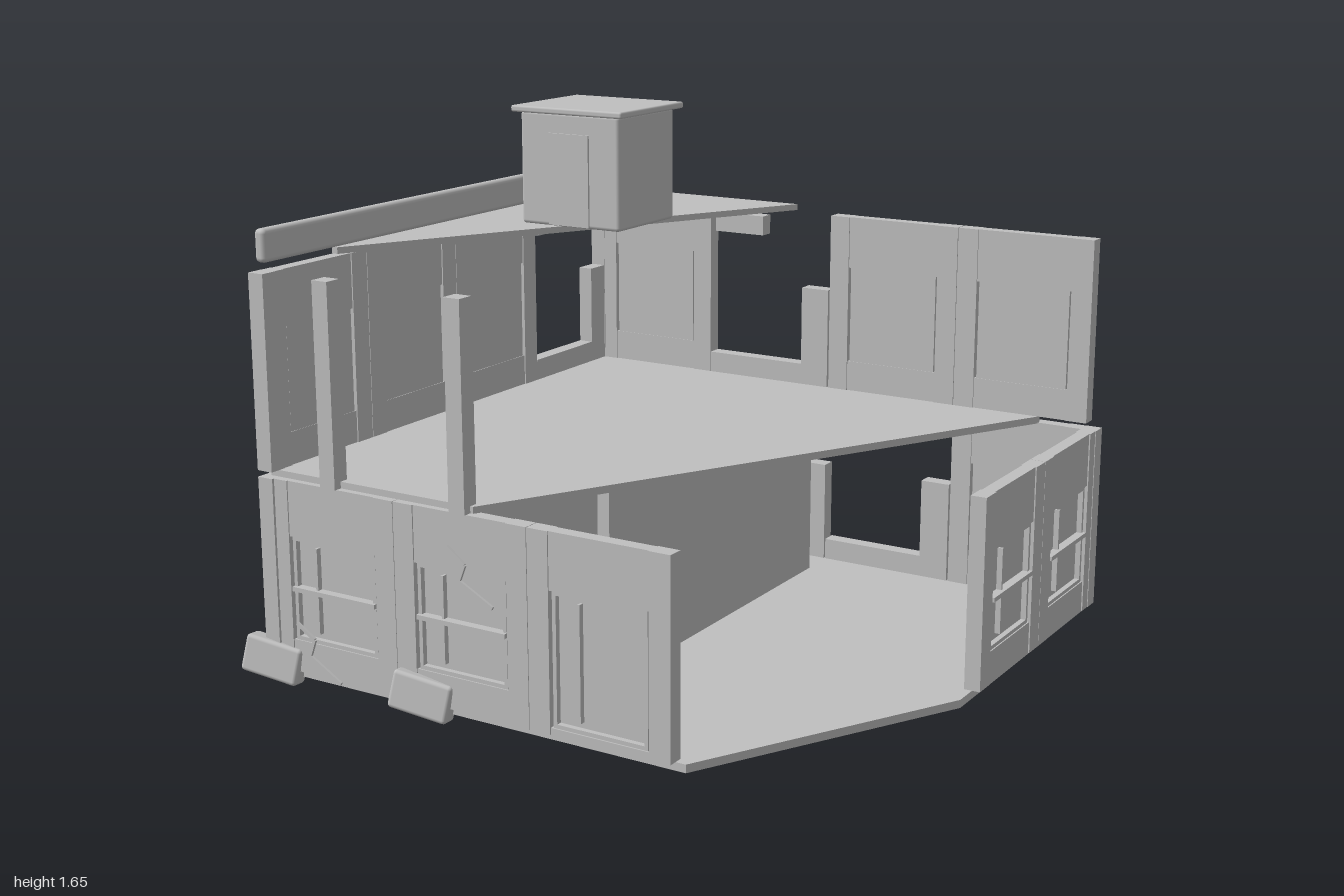
import * as THREE from 'three';
import { RoundedBoxGeometry } from 'three/addons/geometries/RoundedBoxGeometry.js';

const concrete = new THREE.MeshStandardMaterial({ color: 0xbfbfbf });
concrete.name = 'concrete grey';

const PIER = 0.07, THICK = 0.05, STOREY = 0.59;
const FLOOR_Y = [0.055, 0.665];

function add(parent, name, geometry) {
  const mesh = new THREE.Mesh(geometry, concrete);
  mesh.name = name;
  parent.add(mesh);
  return mesh;
}

// Box given by its limits on each axis
function box(parent, name, x0, x1, y0, y1, z0, z1, radius = 0) {
  const s = [x1 - x0, y1 - y0, z1 - z0];
  const g = radius ? new RoundedBoxGeometry(...s, 2, radius) : new THREE.BoxGeometry(...s);
  const mesh = add(parent, name, g);
  mesh.position.set((x0 + x1) / 2, (y0 + y1) / 2, (z0 + z1) / 2);
  return mesh;
}

// Flat slab from an outline of [x, z] corners
function slab(parent, name, outline, y0, y1) {
  const shape = new THREE.Shape(outline.map(([x, z]) => new THREE.Vector2(x, z)));
  const g = new THREE.ExtrudeGeometry(shape, { depth: y1 - y0, bevelEnabled: false });
  g.rotateX(Math.PI / 2);
  add(parent, name, g).position.y = y1;
}

// One facade bay; u runs along the wall, d is the outer face of the wall
function bay(parent, type, u0, u1, y, d) {
  const g = new THREE.Group();
  g.name = type + 'Bay';
  parent.add(g);
  const back = d - THICK;

  if (type === 'broken') {
    box(g, 'brokenPier', u0 + 0.005, u0 + 0.105, y, y + 0.335, back, d);
    box(g, 'brokenSill', u0 + 0.105, u1, y, y + 0.07, back, d);
    box(g, 'hangingLintel', u1 - 0.205, u1 - 0.02, y + 0.5, y + 0.565, back, d);
    return;
  }

  const a = u0 + PIER, b = u1 - PIER, mid = (a + b) / 2;
  const door = type === 'door';
  const low = y + (door ? 0.02 : 0.1), high = y + 0.42;
  box(g, 'leftPier', u0 + 0.001, a, y, y + STOREY, back, d);
  box(g, 'rightPier', b, u1 - 0.001, y, y + STOREY, back, d);
  box(g, 'head', a, b, high, y + STOREY, back + 0.004, d - 0.004);
  box(g, 'sill', a, b, y, low, back + 0.004, d - 0.004);
  // Pane or door leaf, with narrow gaps at the jambs
  box(g, door ? 'doorLeaf' : 'pane', a + 0.007, b - 0.007, low, high, back + 0.006, d - 0.025);

  // Frame around the opening
  const f = 0.012, fz0 = d - 0.026, fz1 = d - 0.008;
  box(g, 'frameTop', a + 0.007, b - 0.007, high - f, high, fz0, fz1);
  box(g, 'frameBottom', a + 0.007, b - 0.007, low, low + f, fz0, fz1);
  box(g, 'frameLeft', a + 0.007, a + 0.007 + f, low + f, high - f, fz0, fz1);
  box(g, 'frameRight', b - 0.007 - f, b - 0.007, low + f, high - f, fz0, fz1);
  const bar = a + 0.29 * (b - a);
  box(g, 'verticalBar', bar - 0.004, bar + 0.004, low + 0.03, high - 0.025, fz0, fz1);
  if (!door) {
    const m = (low + high) / 2;
    box(g, 'crossBar', mid - (b - a) / 2 + 0.007, mid + (b - a) / 2 - 0.007, m - 0.007, m + 0.007, fz0, d + 0.003);
  }
}

// Wall made of bays; a null leaves the bay out
function wall(parent, name, turn, d, start, pitch, y, types) {
  const g = new THREE.Group();
  g.name = name;
  g.rotation.y = turn;
  parent.add(g);
  types.forEach((t, i) => {
    if (t) bay(g, t, start + i * pitch, start + (i + 1) * pitch, y, d);
  });
}

// Zigzag crack as thin strips on the front wall
function crack(parent, points) {
  const g = new THREE.Group();
  g.name = 'crack';
  parent.add(g);
  for (let i = 0; i < points.length - 1; i++) {
    const [x0, y0] = points[i], [x1, y1] = points[i + 1];
    const strip = add(g, 'crackStrip', new THREE.BoxGeometry(Math.hypot(x1 - x0, y1 - y0), 0.01, 0.008));
    strip.position.set((x0 + x1) / 2, (y0 + y1) / 2, 0.887);
    strip.rotation.z = Math.atan2(y1 - y0, x1 - x0);
  }
}

export function createModel() {
  const model = new THREE.Group();
  model.name = 'ruinedBuilding';

  // Floors and roof, each sheared off diagonally
  slab(model, 'groundSlab', [[-0.9, -0.9], [0.97, -0.9], [0.97, 0.06], [0.53, 0.86], [-0.9, 0.86]], 0.03, 0.055);
  slab(model, 'upperFloor', [[-0.9, -0.89], [0.8, -0.89], [-0.16, 0.86], [-0.9, 0.86]], 0.642, 0.665);
  slab(model, 'roofSlab', [[-0.9, -0.9], [-0.1, -0.9], [-0.88, 0.55], [-0.9, 0.55]], 1.26, 1.28);

  // Facades
  const w = 'window', k = 'broken';
  const px = 0.463, pz = 0.4425;
  wall(model, 'frontWall', 0, 0.885, -0.89, px, FLOOR_Y[0], [w, w, 'door']);
  wall(model, 'backWallLower', Math.PI, 0.93, -0.963, px, FLOOR_Y[0], [w, k, k, k]);
  wall(model, 'backWallUpper', Math.PI, 0.93, -0.963, px, FLOOR_Y[1], [w, w, k, w]);
  wall(model, 'rightWallLower', -Math.PI / 2, 0.92, -0.9, pz, FLOOR_Y[0], [w, w, w, k]);
  wall(model, 'rightWallUpper', -Math.PI / 2, 0.92, -0.9, pz, FLOOR_Y[1], [k, w, w, w]);
  wall(model, 'leftWall', Math.PI / 2, 0.995, 0.02, pz, FLOOR_Y[0], [w, w]);

  // Corner posts
  for (const y of FLOOR_Y) {
    box(model, 'frontCornerPost', -0.922, -0.868, y, y + STOREY, 0.838, 0.893);
    box(model, 'backCornerPost', -0.922, -0.868, y, y + STOREY, -0.932, -0.878);
  }
  box(model, 'leftCornerPost', 0.942, 0.997, FLOOR_Y[0], FLOOR_Y[0] + STOREY, -0.932, -0.878);

  // Posts left standing on the upper floor
  for (const x of [-0.69, -0.225]) {
    box(model, 'standingPost', x, x + 0.055, FLOOR_Y[1] - 0.02, 1.255, 0.832, 0.887);
  }

  // Inner partitions
  for (const x of [0.0, -0.465]) {
    box(model, 'partition', x, x + 0.04, 0.055, 0.642, -0.76, 0.48);
  }

  // Parapet and rooftop hut
  box(model, 'parapet', -0.917, -0.878, 1.28, 1.38, -0.9, 0.87, 0.015);
  const hut = new THREE.Group();
  hut.name = 'rooftopHut';
  model.add(hut);
  box(hut, 'hutBody', -0.67, -0.3, 1.28, 1.64, -0.43, -0.105, 0.012);
  box(hut, 'hutCap', -0.693, -0.278, 1.635, 1.656, -0.455, -0.085, 0.007);
  box(hut, 'hutDoor', -0.56, -0.41, 1.285, 1.575, -0.107, -0.098);

  crack(model, [[-0.8, 0.21], [-0.735, 0.17], [-0.755, 0.115], [-0.64, 0.05]]);
  crack(model, [[-0.235, 0.545], [-0.175, 0.5], [-0.195, 0.45], [-0.08, 0.39]]);

  // Fallen chunks by the front wall
  for (const x of [-0.895, -0.335]) {
    const chunk = add(model, 'rubbleChunk', new RoundedBoxGeometry(0.19, 0.115, 0.065, 2, 0.012));
    chunk.position.set(x, 0.08, 0.885);
    chunk.rotation.set(-0.15, 0.2, -0.14);
  }
  return model;
}
